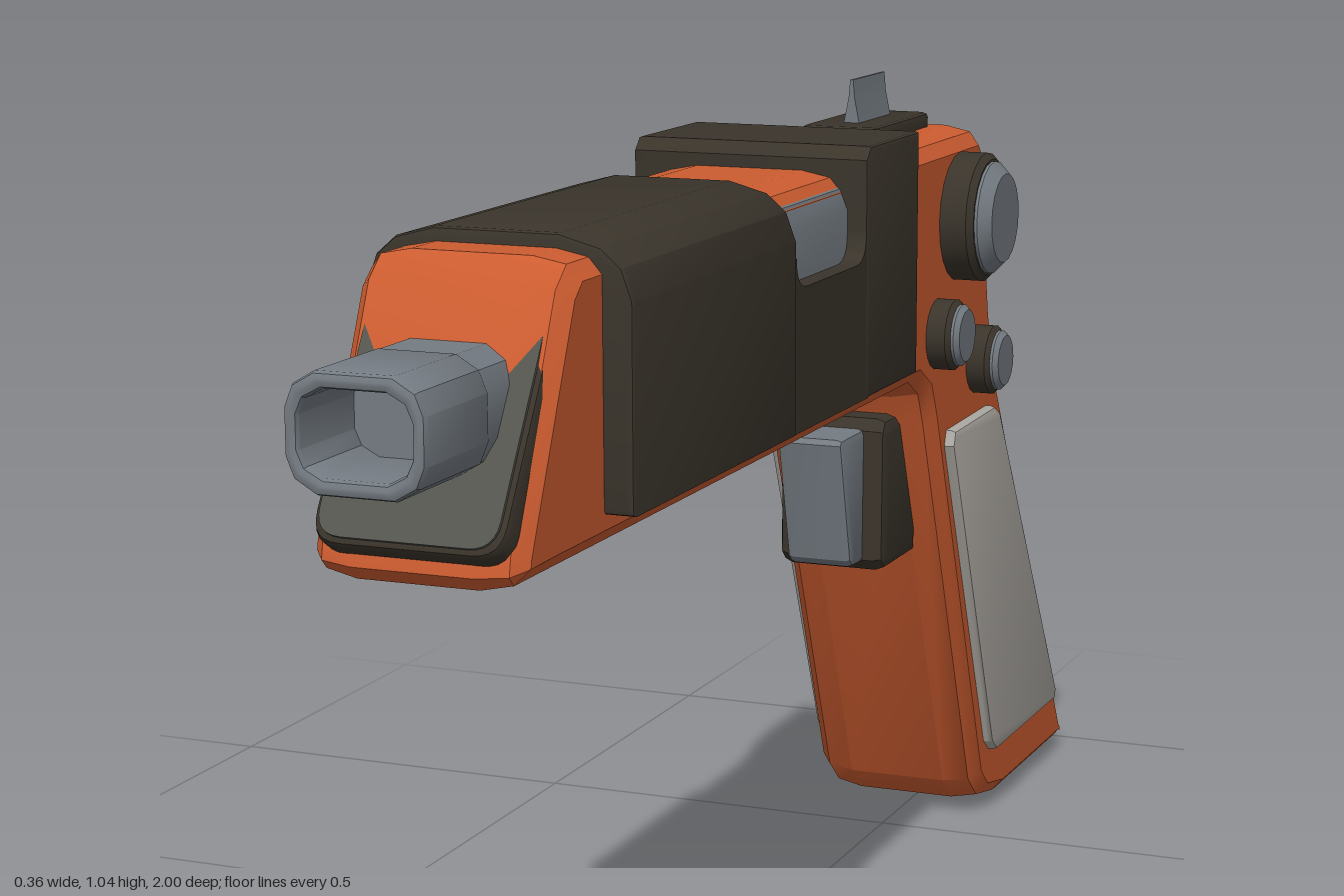
import * as THREE from 'three';
import { toCreasedNormals } from 'three/addons/utils/BufferGeometryUtils.js';

const paint = (name, color) => {
  const m = new THREE.MeshStandardMaterial({ color });
  m.name = name;
  return m;
};

export function createModel() {
  const orange = paint('orange shell', 0xcc5c30);
  const dark = paint('dark brown', 0x3a342b);
  const plateGrey = paint('charcoal plate', 0x555650);
  const metal = paint('blue grey metal', 0x747b82);
  const light = paint('light grip grey', 0xaeaaa4);
  const root = new THREE.Group();

  const add = (name, geometry, material, parent = root) => {
    const mesh = new THREE.Mesh(toCreasedNormals(geometry, 0.5), material);
    mesh.name = name;
    parent.add(mesh);
    return mesh;
  };
  const toShape = (pts) => new THREE.Shape(pts.map(([a, b]) => new THREE.Vector2(a, b)));

  // Extrudes an outline between two depths, bevelling inside the outline
  const slab = (shape, from, to, bevel = 0, thick = bevel) => {
    const g = new THREE.ExtrudeGeometry(shape, {
      depth: to - from - 2 * thick, bevelEnabled: bevel > 0, bevelSize: bevel,
      bevelThickness: thick, bevelOffset: -bevel, bevelSegments: 2, curveSegments: 6,
    });
    return g.translate(0, 0, from + thick);
  };
  // Side outline given in (z, y), centred across x
  const profile = (shape, half, bevel, thick) =>
    slab(shape, -half, half, bevel, thick).rotateY(-Math.PI / 2);
  // Rounded rectangle centred on the origin
  const roundRect = (w, h, r) => {
    const s = new THREE.Shape(), x = w / 2, y = h / 2;
    s.moveTo(-x + r, -y);
    s.lineTo(x - r, -y); s.quadraticCurveTo(x, -y, x, -y + r);
    s.lineTo(x, y - r); s.quadraticCurveTo(x, y, x - r, y);
    s.lineTo(-x + r, y); s.quadraticCurveTo(-x, y, -x, y - r);
    s.lineTo(-x, -y + r); s.quadraticCurveTo(-x, -y, -x + r, -y);
    return s;
  };
  // Closes a right-hand outline with its mirror image
  const mirrored = (right) => toShape([...right, ...right.map(([x, y]) => [-x, y]).reverse()]);

  // Shell: barrel housing and raked grip in one piece
  add('body', profile(toShape([
    [0.875, 0.66], [0.89, 0.675], [0.885, 0.70], [0.775, 0.945], [0.745, 0.97],
    [-0.535, 0.97], [-0.555, 0.95], [-0.60, 0.72], [-0.63, 0.63], [-0.99, 0.025], [-0.98, 0.003],
    [-0.68, 0.004], [-0.60, 0.02], [-0.56, 0.055], [-0.345, 0.60], [-0.325, 0.64], [-0.29, 0.66],
  ]), 0.117, 0.024, 0.05), orange);

  // Slide cover: rounded front, notched tray and square rear block
  const cover = new THREE.Group();
  cover.name = 'slideCover';
  root.add(cover);
  add('coverFront', slab(mirrored([
    [0.15, 0.70], [0.15, 0.92], [0.138, 0.953], [0.115, 0.973], [0.07, 0.985],
  ]), 0.23, 0.69, 0.006), dark, cover);
  const tray = new THREE.Shape();
  tray.moveTo(-0.01, 0.70);
  tray.lineTo(0.24, 0.70);
  tray.lineTo(0.24, 0.90);
  tray.lineTo(0.23, 0.90);
  tray.quadraticCurveTo(0.23, 0.865, 0.195, 0.865);
  tray.lineTo(0.035, 0.865);
  tray.quadraticCurveTo(0, 0.865, 0, 0.90);
  tray.lineTo(-0.01, 0.90);
  add('coverTray', profile(tray, 0.149), dark, cover);
  add('coverRear', profile(toShape([
    [0, 0.70], [0, 0.985], [-0.015, 1.0], [-0.188, 1.0], [-0.188, 0.70],
  ]), 0.15, 0.005), dark, cover);

  // Metal barrel seen in the notch
  add('breech', slab(mirrored([
    [0.125, 0.83], [0.125, 0.925], [0.115, 0.95], [0.085, 0.966],
  ]), -0.02, 0.25), metal);

  // Sloping nose plate: dark rim with a charcoal face
  const nose = new THREE.Group();
  nose.name = 'nosePlate';
  nose.position.set(0, 0.823, 0.832);
  nose.rotation.x = -0.55;
  root.add(nose);
  add('noseRim', slab(roundRect(0.212, 0.288, 0.035), -0.06, 0, 0.01), dark, nose);
  add('noseFace', slab(roundRect(0.196, 0.272, 0.03), -0.003, 0.003), plateGrey, nose);

  // Hollow flattened muzzle
  const oval = [[0.075, 0.024], [0.066, 0.046], [0.042, 0.06]];
  const ring = (kx, ky) => mirrored([
    ...oval.map(([x, y]) => [x * kx, -y * ky]).reverse(),
    ...oval.map(([x, y]) => [x * kx, y * ky]),
  ]);
  const tube = ring(1, 1);
  tube.holes.push(ring(0.8, 0.72));
  add('muzzle', slab(tube, 0.86, 1.0, 0.007), metal).position.y = 0.83;
  add('muzzleCore', slab(ring(0.99, 0.99), 0.74, 0.885), metal).position.y = 0.83;

  // Round knobs and grip panels on both sides
  const disc = (r, x0, x1, bevel) => new THREE.LatheGeometry([
    [0, x0], [r, x0], [r, x1 - bevel], [r - bevel, x1], [0, x1],
  ].map(([a, b]) => new THREE.Vector2(a, b)), 20);
  for (const side of [1, -1]) {
    const label = side > 0 ? 'left' : 'right';
    for (const [name, z, y, r, base, cap] of [
      ['LargeKnob', -0.45, 0.862, 0.084, 0.16, 0.179],
      ['FrontButton', -0.363, 0.72, 0.046, 0.15, 0.158],
      ['RearButton', -0.53, 0.66, 0.046, 0.15, 0.158],
    ]) {
      const knob = new THREE.Group();
      knob.name = label + name;
      knob.position.set(0, y, z);
      knob.rotation.z = -side * Math.PI / 2;
      root.add(knob);
      add('knobBase', disc(r, 0.09, base, 0.008), dark, knob);
      add('knobCap', disc(r * 0.87, base - 0.01, cap, (cap - base) * 0.8), metal, knob);
    }
    const panel = add(label + 'GripPanel', profile(toShape([
      [-0.405, 0.585], [-0.575, 0.588], [-0.60, 0.575], [-0.895, 0.11], [-0.89, 0.093],
      [-0.61, 0.093], [-0.588, 0.11], [-0.398, 0.565],
    ]), 0.015, 0.008), light);
    panel.position.x = side * 0.117;
  }

  // Strip down the back of the grip
  add('backStrap', profile(toShape([
    [-0.60, 0.625], [-0.625, 0.65], [-0.64, 0.642], [-1.0, 0.045], [-0.997, 0.027], [-0.96, 0.03],
  ]), 0.076, 0.008), light);

  // Trigger and its housing
  add('triggerHousing', profile(toShape([
    [-0.30, 0.615], [-0.288, 0.60], [-0.285, 0.43], [-0.30, 0.415], [-0.42, 0.415], [-0.42, 0.615],
  ]), 0.073, 0.015), dark);
  add('trigger', profile(toShape([
    [-0.205, 0.595], [-0.21, 0.602], [-0.31, 0.602], [-0.31, 0.425], [-0.252, 0.428], [-0.243, 0.437],
  ]), 0.044, 0.008), metal);

  // Rear housing with its lever
  add('rearHousing', profile(toShape([
    [-0.55, 0.925], [-0.625, 0.925], [-0.637, 0.91], [-0.641, 0.70], [-0.63, 0.68], [-0.58, 0.68],
  ]), 0.076, 0.01), dark);
  add('rearLever', profile(toShape([
    [-0.62, 0.90], [-0.662, 0.90], [-0.672, 0.89], [-0.705, 0.745], [-0.70, 0.733], [-0.62, 0.733],
  ]), 0.031, 0.008), metal);

  // Top sight: base plate and tapered fin
  const base = add('sightBase', slab(roundRect(0.104, 0.22, 0.02), 0.95, 0.988, 0.006), dark);
  base.rotation.x = -Math.PI / 2;
  base.position.z = -0.412;
  add('sightFin', slab(toShape([
    [-0.012, 0.98], [0.012, 0.98], [0.004, 1.02], [0.002, 1.043], [-0.002, 1.043], [-0.004, 1.02],
  ]), -0.475, -0.355), metal);

  return root;
}
